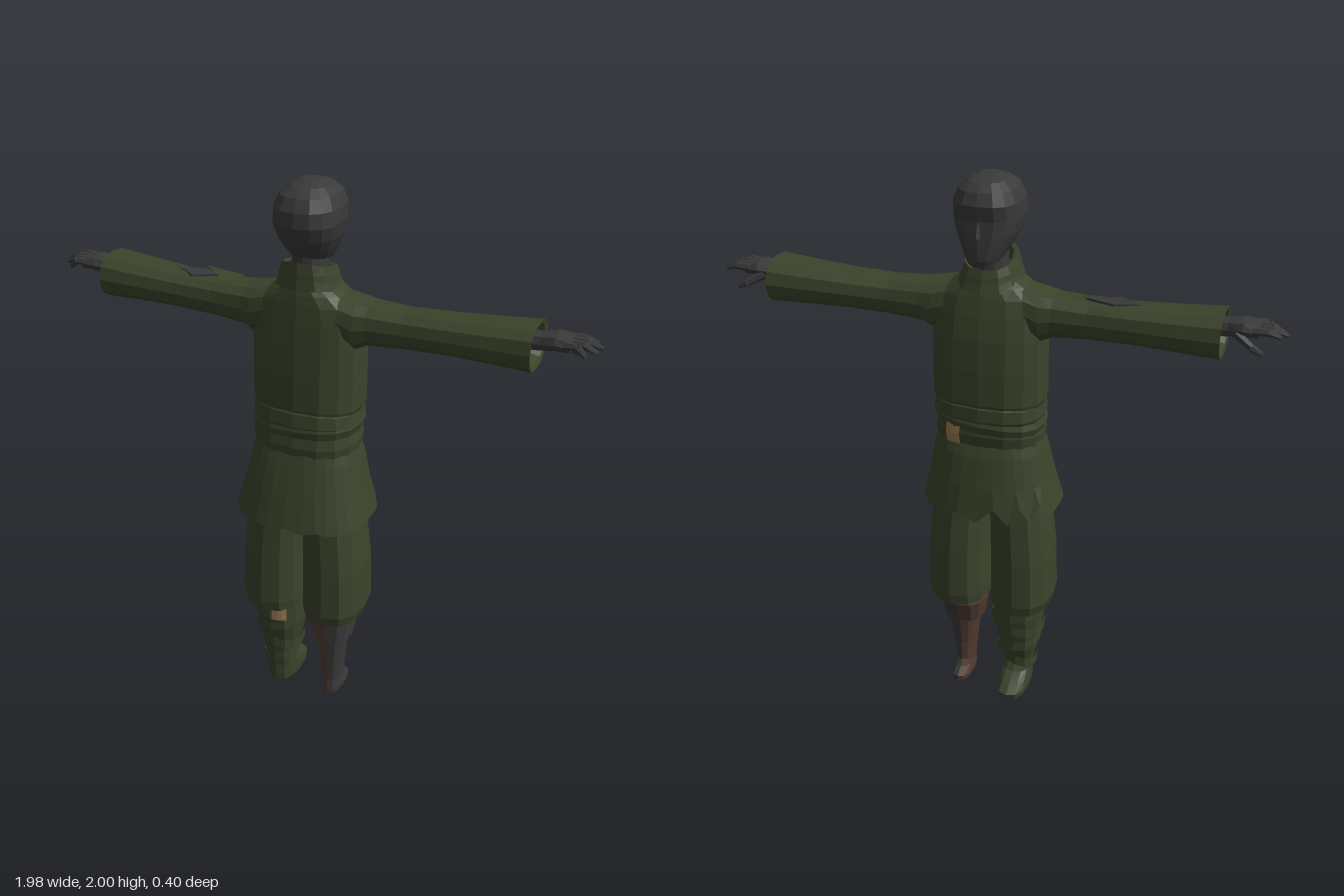
import * as THREE from 'three';

const mat = (name, color) => {
  const m = new THREE.MeshStandardMaterial({ color, flatShading: true, side: THREE.DoubleSide });
  m.name = name;
  return m;
};

// Skin through oval rings [t, u0, u1, v0, v1, shift(angle)]; t runs along y (u = x) or along x (u = y).
function loft(rings, { n = 12, a0 = 0, a1 = Math.PI * 2, axis = 'y', side = 1, start = false, end = false } = {}) {
  const pos = [], idx = [], soft = (c) => Math.sign(c) * Math.abs(c) ** 0.8;
  const put = (t, u, v) => (axis === 'y' ? pos.push(u * side, t, v) : pos.push(t * side, u, v));
  const flip = (axis === 'x') !== (side < 0);
  const tri = (a, b, c) => (flip ? idx.push(a, c, b) : idx.push(a, b, c));
  for (const [t, u0, u1, v0, v1, shift] of rings) {
    for (let j = 0; j <= n; j++) {
      const a = a0 + (a1 - a0) * j / n;
      put(t + (shift ? shift(a) : 0), (u0 + u1) / 2 + (u1 - u0) / 2 * soft(Math.cos(a)), (v0 + v1) / 2 + (v1 - v0) / 2 * soft(Math.sin(a)));
    }
  }
  const w = n + 1, last = (rings.length - 1) * w;
  for (let i = 0; i < rings.length - 1; i++) for (let j = 0; j < n; j++) {
    const a = i * w + j, b = a + w;
    tri(a, b, a + 1);
    tri(a + 1, b, b + 1);
  }
  const cap = (r, base, bottom) => {
    put(r[0], (r[1] + r[2]) / 2, (r[3] + r[4]) / 2);
    const c = pos.length / 3 - 1;
    for (let j = 0; j < n; j++) bottom ? tri(c, base + j, base + j + 1) : tri(c, base + j + 1, base + j);
  };
  if (start) cap(rings[0], 0, true);
  if (end) cap(rings[rings.length - 1], last, false);
  const g = new THREE.BufferGeometry();
  g.setAttribute('position', new THREE.Float32BufferAttribute(pos, 3));
  g.setIndex(idx);
  const flat = g.toNonIndexed();
  flat.computeVertexNormals();
  return flat;
}

// Tapered rod between two points
function rod(a, b, ra, rb) {
  const A = new THREE.Vector3(...a), B = new THREE.Vector3(...b), d = B.clone().sub(A);
  const g = new THREE.CylinderGeometry(rb, ra, d.length(), 6);
  g.applyQuaternion(new THREE.Quaternion().setFromUnitVectors(new THREE.Vector3(0, 1, 0), d.normalize()));
  const m = A.add(B).multiplyScalar(0.5);
  return g.translate(m.x, m.y, m.z);
}

export function createModel() {
  const model = new THREE.Group();
  model.name = 'figure';
  const green = mat('olive cloth', 0x3b432b), dark = mat('charcoal', 0x393939);
  const brown = mat('brown leather', 0x513a31), tan = mat('tan patch', 0x9a7850);
  const add = (name, geo, m, parent = model) => {
    const mesh = new THREE.Mesh(geo, m);
    mesh.name = name;
    parent.add(mesh);
    return mesh;
  };
  const tilt = (k) => (a) => k * Math.sin(a);
  const grow = (r, d) => r.map(([t, a, b, c, e, s]) => [t, a - d, b + d, c - d, e + d, s]);

  // Head faces -z
  add('head', loft([
    [1.72, -0.045, 0.045, -0.15, -0.07], [1.74, -0.062, 0.062, -0.16, 0.03], [1.78, -0.085, 0.085, -0.16, 0.065],
    [1.82, -0.104, 0.104, -0.158, 0.09], [1.87, -0.115, 0.115, -0.154, 0.11], [1.92, -0.112, 0.112, -0.164, 0.105],
    [1.96, -0.095, 0.095, -0.147, 0.082], [1.985, -0.065, 0.065, -0.115, 0.045], [2, -0.03, 0.03, -0.06, 0],
  ], { n: 16, start: true, end: true }), dark);
  add('nose', rod([0, 1.865, -0.15], [0, 1.815, -0.157], 0.006, 0.013), dark);
  add('neck', loft([[1.62, -0.06, 0.06, -0.09, 0.05], [1.77, -0.055, 0.055, -0.09, 0.04]]), dark);

  // Tunic, collar, sash and skirt
  add('tunic', loft([
    [1.19, -0.185, 0.185, -0.155, 0.11], [1.23, -0.2, 0.2, -0.165, 0.115], [1.35, -0.2, 0.2, -0.163, 0.11],
    [1.46, -0.2, 0.2, -0.155, 0.102], [1.54, -0.195, 0.195, -0.142, 0.095], [1.6, -0.18, 0.18, -0.128, 0.088],
    [1.635, -0.13, 0.13, -0.118, 0.083], [1.66, -0.09, 0.09, -0.11, 0.078],
  ], { n: 16 }), green);
  add('collar', loft([
    [1.64, -0.105, 0.105, -0.13, 0.085, tilt(0.015)], [1.69, -0.095, 0.095, -0.122, 0.082, tilt(0.02)],
    [1.72, -0.084, 0.084, -0.115, 0.078, tilt(0.025)], [1.715, -0.07, 0.07, -0.1, 0.064, tilt(0.025)],
  ]), green);
  add('collarFold', loft([
    [1.64, -0.112, 0.112, -0.136, 0.088, tilt(0.02)], [1.67, -0.1, 0.1, -0.128, 0.085, tilt(0.02)],
  ]), green);
  const lowSash = [[1.06, -0.19, 0.19, -0.155, 0.125, tilt(-0.01)], [1.1, -0.195, 0.195, -0.162, 0.128, tilt(-0.01)],
    [1.14, -0.188, 0.188, -0.157, 0.12, tilt(-0.01)]];
  add('lowerSash', loft(lowSash, { n: 16 }), green);
  add('middleSash', loft([
    [1.12, -0.19, 0.19, -0.16, 0.12, (a) => 0.015 * Math.cos(a)], [1.15, -0.2, 0.2, -0.168, 0.126, (a) => 0.015 * Math.cos(a)],
    [1.18, -0.19, 0.19, -0.16, 0.118, (a) => 0.015 * Math.cos(a)],
  ], { n: 16 }), green);
  add('upperSash', loft([
    [1.15, -0.188, 0.188, -0.16, 0.118], [1.17, -0.198, 0.198, -0.167, 0.125], [1.215, -0.193, 0.193, -0.166, 0.118], [1.23, -0.183, 0.183, -0.155, 0.108],
  ], { n: 16 }), green);
  add('sashPatch', loft(grow(lowSash, 0.004), { n: 2, a0: -1.3, a1: -0.98 }), tan);
  // Hem is ragged on the front-right side
  const hem = (a) => {
    const s = Math.sin(a), j = Math.round(a / (Math.PI / 16));
    return -0.02 * Math.abs(s) + (s < -0.5 && j % 2 ? (Math.cos(a) < 0 ? 0.06 : 0.03) : 0) + (j === 8 || j === 6 ? 0.012 : 0);
  };
  add('skirt', loft([
    [1.08, -0.185, 0.185, -0.15, 0.118], [1.03, -0.2, 0.2, -0.165, 0.135], [0.92, -0.222, 0.222, -0.185, 0.168],
    [0.81, -0.252, 0.252, -0.2, 0.2, hem],
  ].reverse(), { n: 32 }), green);

  for (const side of [1, -1]) {
    const label = side > 0 ? 'left' : 'right';
    // Sleeve with a turned-in cuff
    add(label + 'Sleeve', loft([
      [0.1, 1.5, 1.64, -0.11, 0.07], [0.19, 1.45, 1.625, -0.115, 0.07], [0.23, 1.47, 1.617, -0.108, 0.06], [0.35, 1.478, 1.61, -0.103, 0.05],
      [0.5, 1.484, 1.614, -0.115, 0.052], [0.65, 1.482, 1.624, -0.128, 0.057], [0.79, 1.478, 1.636, -0.137, 0.062],
      [0.785, 1.492, 1.622, -0.122, 0.047], [0.7, 1.52, 1.61, -0.09, 0.02],
    ], { axis: 'x', side }), green);
    // Hand
    const hand = new THREE.Group();
    hand.name = label + 'Hand';
    model.add(hand);
    add('palm', loft([
      [0.68, 1.54, 1.605, -0.075, 0.005], [0.8, 1.548, 1.608, -0.072, 0.004], [0.85, 1.558, 1.616, -0.09, 0.014], [0.9, 1.562, 1.606, -0.088, 0.014],
    ], { axis: 'x', side, n: 8, start: true, end: true }), dark, hand);
    [[-0.078, 0.97, 1.58], [-0.051, 0.99, 1.578], [-0.023, 0.98, 1.57], [0.003, 0.95, 1.563]].forEach(([z, tip, y]) => {
      const mid = (0.88 + tip) / 2 + 0.005, zt = z * 1.05 + 0.002;
      add('fingerBase', rod([0.88 * side, 1.59, z], [mid * side, 1.592, zt], 0.014, 0.0125), dark, hand);
      add('fingerTip', rod([mid * side, 1.592, zt], [tip * side, y, zt], 0.0125, 0.007), dark, hand);
    });
    add('thumb', rod([0.83 * side, 1.57, -0.07], [0.885 * side, 1.54, -0.096], 0.017, 0.013), dark, hand);
    add('thumbTip', rod([0.885 * side, 1.54, -0.096], [0.92 * side, 1.524, -0.1], 0.013, 0.007), dark, hand);
    // Baggy trouser leg
    add(label + 'Trouser', loft([
      [0.365, 0.03, 0.2, -0.11, 0.11], [0.38, 0.012, 0.225, -0.14, 0.138], [0.42, 0.008, 0.238, -0.148, 0.145], [0.6, 0.008, 0.233, -0.147, 0.14],
      [0.8, 0.004, 0.212, -0.138, 0.13], [0.95, -0.01, 0.19, -0.13, 0.115],
    ], { side, start: true }), green);
  }

  // Torn sleeve: exposed arm and lifted flap
  const tear = new THREE.Shape([[-0.53, 0.035], [-0.43, 0.065], [-0.33, 0.035], [-0.38, 0.02], [-0.44, -0.012], [-0.48, 0.02]].map((p) => new THREE.Vector2(...p)));
  add('sleeveTear', new THREE.ExtrudeGeometry(tear, { depth: 0.008, bevelEnabled: false }).rotateX(-Math.PI / 2).translate(0, 1.608, 0), dark);
  const flap = new THREE.BufferGeometry();
  flap.setAttribute('position', new THREE.Float32BufferAttribute([-0.41, 1.634, -0.05, -0.32, 1.611, 0, -0.27, 1.613, -0.07], 3));
  flap.computeVertexNormals();
  add('sleeveFlap', flap, green);

  // Wrapped right leg and boot
  const shin = [[0.06, -0.155, -0.055, -0.05, 0.058], [0.13, -0.168, -0.05, -0.058, 0.065], [0.2, -0.183, -0.032, -0.085, 0.075],
    [0.28, -0.195, -0.02, -0.1, 0.095], [0.34, -0.2, -0.012, -0.112, 0.11], [0.39, -0.2, -0.012, -0.112, 0.11]];
  add('wrappedShin', loft(shin), green);
  add('rightBoot', loft([
    [0, -0.16, -0.052, -0.155, 0.058], [0.025, -0.163, -0.05, -0.162, 0.062], [0.05, -0.16, -0.052, -0.125, 0.062], [0.075, -0.157, -0.054, -0.075, 0.06], [0.11, -0.162, -0.052, -0.052, 0.06],
  ], { start: true }), green);
  [[shin[1], 0.12], [shin[2], 0.2], [shin[3], 0.285], [shin[4], 0.345]].forEach(([r, y], i) => {
    const lean = (a) => (i % 2 ? -0.02 : 0.018) * Math.cos(a);
    add('legWrap', loft(grow([[y - 0.02, ...r.slice(1), lean], [y + 0.018, ...r.slice(1), lean]], 0.005)), green);
  });
  add('shinPatch', loft(grow(shin.slice(4), 0.01).map((r, i) => [i ? 0.38 : 0.33, ...r.slice(1)]), { n: 3, a0: 0.95, a1: 1.5 }), tan);

  // Left leg: brown inside, charcoal outside
  const h = Math.PI / 2;
  for (const [m, a0, label] of [[dark, -h, 'Outer'], [brown, h, 'Inner']]) {
    const half = { n: 6, a0, a1: a0 + Math.PI };
    add('leftCuff' + label, loft([[0.27, 0.035, 0.185, -0.085, 0.078], [0.36, 0.02, 0.19, -0.115, 0.078], [0.4, 0.03, 0.19, -0.11, 0.08]], { ...half, start: true }), m);
    add('leftShin' + label, loft([[0.05, 0.077, 0.143, -0.058, 0.05], [0.15, 0.068, 0.152, -0.06, 0.055], [0.28, 0.052, 0.168, -0.078, 0.064]], half), m);
    add('leftFoot' + label, loft([[0, 0.075, 0.145, -0.105, 0.055], [0.02, 0.073, 0.147, -0.108, 0.056], [0.045, 0.077, 0.143, -0.075, 0.053], [0.07, 0.077, 0.143, -0.058, 0.05]], { ...half, start: true }), m);
  }
  return model;
}
